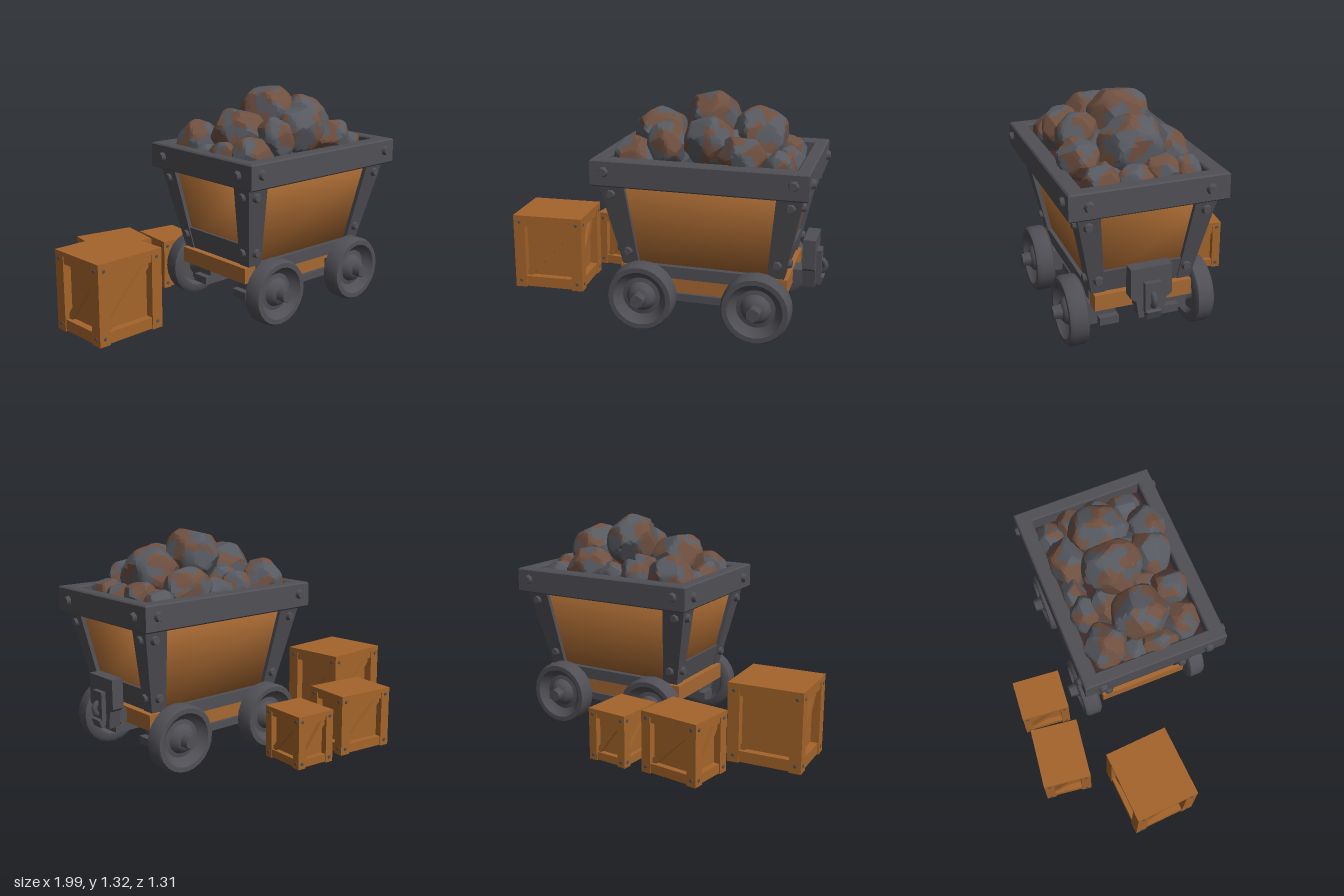
import * as THREE from 'three';
import { mergeVertices, toCreasedNormals } from 'three/addons/utils/BufferGeometryUtils.js';

const mat = (name, color) => {
  const m = new THREE.MeshStandardMaterial({ color });
  m.name = name;
  return m;
};

export function createModel() {
  const iron = mat('iron', 0x4f4f55);
  const wood = mat('cartWood', 0xa66832);
  const crateWood = mat('crateWood', 0xa4642a);
  const stone = mat('stone', 0x575a61);
  const rust = mat('rustyOre', 0x6f5040);
  const lining = mat('darkLining', 0x42292a);

  const add = (parent, name, geo, m, x = 0, y = 0, z = 0) => {
    const mesh = new THREE.Mesh(geo, m);
    mesh.name = name;
    mesh.position.set(x, y, z);
    parent.add(mesh);
    return mesh;
  };
  const box = (parent, name, m, x0, x1, y0, y1, z0, z1) =>
    add(parent, name, new THREE.BoxGeometry(x1 - x0, y1 - y0, z1 - z0), m, (x0 + x1) / 2, (y0 + y1) / 2, (z0 + z1) / 2);
  // Box whose bottom and top rectangles [x0, x1, z0, z1] differ
  const tapered = (a, b, y0, y1) => {
    const g = new THREE.BoxGeometry(1, 1, 1), p = g.attributes.position;
    for (let i = 0; i < p.count; i++) {
      const r = p.getY(i) > 0 ? b : a;
      p.setXYZ(i, p.getX(i) > 0 ? r[1] : r[0], p.getY(i) > 0 ? y1 : y0, p.getZ(i) > 0 ? r[3] : r[2]);
    }
    g.computeVertexNormals();
    return g;
  };
  // Bolt head pointing along x or z
  const bolt = (parent, m, axis, sign, x, y, z, r = 0.03, h = 0.025) => {
    const b = add(parent, 'bolt', new THREE.CylinderGeometry(r * 0.7, r, h, 7), m, x, y, z);
    if (axis === 'x') b.rotation.z = -sign * Math.PI / 2;
    else b.rotation.x = sign * Math.PI / 2;
  };

  const model = new THREE.Group();
  model.name = 'mineCartAndCrates';
  const cart = new THREE.Group();
  cart.name = 'mineCart';
  cart.position.set(0.327, 0, 0.185);
  model.add(cart);

  // Tapered tub with soft shading across its corners
  const halfX = y => 0.465 + 0.1 * (y - 0.36) / 0.48;
  const halfZ = y => 0.285 + 0.1 * (y - 0.36) / 0.48;
  const rect = (y, inset) => [-halfX(y) + inset, halfX(y) - inset, -halfZ(y) + inset, halfZ(y) - inset];
  const tub = tapered(rect(0.36, 0.025), rect(0.86, 0.025), 0.36, 0.86);
  tub.deleteAttribute('normal');
  tub.deleteAttribute('uv');
  const softTub = mergeVertices(tub);
  softTub.clearGroups();
  softTub.computeVertexNormals();
  add(cart, 'tub', softTub, wood);
  for (const s of [-1, 1]) {
    const e = y => (s > 0 ? [0.38, halfX(y) - 0.008] : [-halfX(y) + 0.008, -0.38]);
    add(cart, 'endBand', tapered([...e(0.35), -0.22, 0.22], [...e(0.48), -0.24, 0.24], 0.35, 0.48), iron);
  }

  // Corner posts with bolts
  for (const sx of [-1, 1]) for (const sz of [-1, 1]) {
    const corner = (y, w, d) => {
      const xs = [sx * halfX(y), sx * (halfX(y) - w)].sort((a, b) => a - b);
      const zs = [sz * halfZ(y), sz * (halfZ(y) - d)].sort((a, b) => a - b);
      return [...xs, ...zs];
    };
    add(cart, 'cornerPost', tapered(corner(0.35, 0.095, 0.075), corner(0.86, 0.145, 0.125), 0.35, 0.86), iron);
    for (const y of [0.435, 0.785]) {
      bolt(cart, iron, 'z', sz, sx * (halfX(y) - 0.055), y, sz * (halfZ(y) + 0.008));
      bolt(cart, iron, 'x', sx, sx * (halfX(y) + 0.008), y, sz * (halfZ(y) - 0.05));
    }
    bolt(cart, iron, 'z', sz, sx * 0.517, 0.925, sz * 0.446, 0.032);
    bolt(cart, iron, 'x', sx, sx * 0.607, 0.915, sz * 0.33, 0.032);
  }

  // Rim frame
  const rectPath = (P, x, z) => {
    const p = new P();
    p.moveTo(-x, -z); p.lineTo(x, -z); p.lineTo(x, z); p.lineTo(-x, z); p.closePath();
    return p;
  };
  const rimShape = rectPath(THREE.Shape, 0.589, 0.43);
  rimShape.holes.push(rectPath(THREE.Path, 0.528, 0.353));
  const rim = add(cart, 'rim', new THREE.ExtrudeGeometry(rimShape, {
    depth: 0.134, bevelEnabled: true, bevelThickness: 0.008, bevelSize: 0.008, bevelSegments: 1,
  }), iron, 0, 0.848, 0);
  rim.rotation.x = -Math.PI / 2;
  box(cart, 'tubLining', lining, -0.53, 0.53, 0.855, 0.885, -0.355, 0.355);

  // Undercarriage
  box(cart, 'woodenFrame', wood, -0.46, 0.46, 0.25, 0.335, -0.25, 0.25);
  for (const s of [-1, 1]) {
    box(cart, 'endBeam', wood, s * 0.44 - 0.04, s * 0.44 + 0.04, 0.25, 0.342, -0.285, 0.27);
    box(cart, 'sideSill', iron, -0.4, 0.4, 0.285, 0.355, s * 0.255 - 0.025, s * 0.255 + 0.025);
    box(cart, 'woodenSkirt', wood, -0.3, 0.3, 0.17, 0.285, s * 0.18 - 0.03, s * 0.18 + 0.03);
    box(cart, 'lowerRail', iron, -0.44, 0.44, 0.13, 0.175, s * 0.175 - 0.055, s * 0.175 + 0.055);
    for (const x of [-0.33, 0.33]) {
      box(cart, 'axleBlock', iron, x - 0.07, x + 0.07, 0.125, 0.255, s * 0.21 - 0.085, s * 0.21 + 0.085);
      const stub = add(cart, 'axle', new THREE.CylinderGeometry(0.065, 0.065, 0.16, 10), iron, x, 0.19, s * 0.27);
      stub.rotation.x = Math.PI / 2;
    }
  }

  // Wheels: dished disc, thick tread, hub and nut
  const profile = [[0, -0.025], [0.12, -0.025], [0.14, -0.055], [0.175, -0.055], [0.195, -0.04], [0.195, 0.035],
    [0.183, 0.055], [0.155, 0.055], [0.14, 0.03], [0.11, 0.008], [0.085, 0.012], [0.07, 0.04], [0.05, 0.055], [0, 0.058]];
  const wheelGeo = toCreasedNormals(new THREE.LatheGeometry(profile.map(p => new THREE.Vector2(...p)), 24), 0.7);
  for (const s of [-1, 1]) for (const x of [-0.328, 0.328]) {
    const wheel = new THREE.Group();
    wheel.name = 'wheel';
    wheel.position.set(x, 0.197, s * 0.36);
    wheel.rotation.x = s * Math.PI / 2;
    add(wheel, 'wheelDisc', wheelGeo, iron);
    add(wheel, 'wheelNut', new THREE.CylinderGeometry(0.04, 0.046, 0.05, 6), iron, 0, 0.08, 0);
    cart.add(wheel);
  }

  // Coupling plate and hook
  const plate = new THREE.Shape([[-0.07, 0.24], [0.07, 0.24], [0.085, 0.34], [0.115, 0.36], [0.115, 0.53],
    [-0.115, 0.53], [-0.115, 0.36], [-0.085, 0.34]].map(p => new THREE.Vector2(...p)));
  const plateMesh = add(cart, 'couplingPlate', new THREE.ExtrudeGeometry(plate, { depth: 0.07, bevelEnabled: false }), iron, 0.537, 0, 0);
  plateMesh.rotation.y = Math.PI / 2;
  box(cart, 'couplingArm', iron, 0.42, 0.56, 0.26, 0.33, -0.06, 0.06);
  box(cart, 'hookBlock', iron, 0.6, 0.635, 0.28, 0.45, -0.045, 0.045);
  const tongue = box(cart, 'hookTongue', iron, 0.585, 0.645, 0.25, 0.3, -0.04, 0.04);
  tongue.rotation.z = -0.35;
  add(cart, 'hook', new THREE.TorusGeometry(0.036, 0.018, 6, 12), iron, 0.619, 0.35, 0);

  // Ore: chiselled lumps with rusty patches [x, y, z, rx, ry, rz]
  let seed = 7;
  const rand = () => (seed = (seed * 16807) % 2147483647) / 2147483647;
  const rock = (x, y, z, rx, ry, rz) => {
    const cuts = Array.from({ length: 16 }, (_, i) => {
      // Evenly spread chisel planes, each slightly off its place
      const h = 1 - (i + 0.2 + rand() * 0.6) / 8, a = i * 2.4 + rand() * 0.7 + x * 9, q = Math.sqrt(1 - h * h);
      return [new THREE.Vector3(q * Math.cos(a), h, q * Math.sin(a)), 0.8 + rand() * 0.12];
    });
    const src = new THREE.IcosahedronGeometry(1, 6), p = src.attributes.position, v = new THREE.Vector3();
    for (let i = 0; i < p.count; i++) {
      v.fromBufferAttribute(p, i).normalize();
      let r = 1;
      for (const [n, d] of cuts) if (n.dot(v) > 0) r = Math.min(r, d / n.dot(v));
      p.setXYZ(i, v.x * r * rx * 1.12, v.y * r * ry * 1.12, v.z * r * rz * 1.12);
    }
    src.deleteAttribute('normal');
    src.deleteAttribute('uv');
    const g = toCreasedNormals(src, 0.35), q = g.attributes.position;
    g.clearGroups();
    const o = rand() * 20;
    for (let i = 0; i < q.count; i += 3) {
      const X = q.getX(i) * 30 + o, Y = q.getY(i) * 30, Z = q.getZ(i) * 30 - o;
      const n = Math.sin(X + Math.sin(Y * 1.3)) + Math.sin(Y * 1.1 + Z * 0.6) + Math.sin(Z * 1.2 + Math.sin(X * 1.7));
      const k = n > 0.1 ? 1 : 0, last = g.groups[g.groups.length - 1];
      if (last && last.materialIndex === k) last.count += 3;
      else g.addGroup(i, 3, k);
    }
    add(model, 'oreLump', g, [stone, rust], x, y, z);
  };
  [[0.31, 1.155, 0.14, 0.145, 0.16, 0.165], [0.02, 1.06, 0.2, 0.15, 0.15, 0.16], [0.59, 1.07, 0.17, 0.15, 0.16, 0.17],
    [-0.06, 0.98, -0.05, 0.13, 0.14, 0.12], [0.17, 0.96, -0.08, 0.1, 0.12, 0.09], [0.31, 0.95, -0.1, 0.09, 0.11, 0.07],
    [0.5, 0.99, -0.06, 0.15, 0.13, 0.11], [0.71, 0.94, -0.09, 0.09, 0.09, 0.08], [0.74, 0.96, 0.06, 0.09, 0.1, 0.1],
    [0.76, 0.94, 0.21, 0.08, 0.09, 0.1], [-0.07, 0.96, 0.41, 0.12, 0.12, 0.11], [0.11, 1.05, 0.41, 0.1, 0.12, 0.11],
    [0.34, 1.08, 0.39, 0.13, 0.13, 0.12], [0.54, 1.02, 0.45, 0.12, 0.11, 0.11], [0.73, 0.95, 0.39, 0.09, 0.09, 0.1],
    [-0.14, 0.94, 0.26, 0.07, 0.1, 0.12], [0.17, 0.98, 0.28, 0.13, 0.14, 0.13], [0.44, 0.98, 0.26, 0.13, 0.14, 0.13],
    [-0.13, 0.93, 0.1, 0.08, 0.08, 0.09], [0.17, 0.98, 0.04, 0.11, 0.12, 0.1], [0.64, 0.93, 0.33, 0.1, 0.09, 0.1],
  ].forEach(r => rock(...r));

  // Crates: recessed core, posts, rails, diagonal braces and lid
  const crate = (name, x, z, w, h, d, turn) => {
    const c = new THREE.Group();
    c.name = name;
    c.position.set(x, 0, z);
    c.rotation.y = turn;
    model.add(c);
    const t = 0.06 * Math.min(1.2, h / 0.36), X = w / 2, Z = d / 2, inset = t * 0.7;
    box(c, 'crateCore', crateWood, -X + inset, X - inset, inset, h - 0.02, -Z + inset, Z - inset);
    box(c, 'crateLid', crateWood, -X - 0.001, X + 0.001, h - 0.025, h + 0.001, -Z - 0.001, Z + 0.001);
    for (let i = 0; i < 4; i++) {
      const side = new THREE.Group();
      side.name = 'crateSide';
      side.rotation.y = i * Math.PI / 2;
      c.add(side);
      const a = i % 2 ? Z : X, b = i % 2 ? X : Z;
      box(side, 'cratePost', crateWood, a - t, a, 0, h - 0.002, b - t, b);
      box(side, 'bottomRail', crateWood, -a + t, a - t, 0.005, t, b - t, b - 0.006);
      box(side, 'topRail', crateWood, -a + t, a - t, h - t, h - 0.005, b - t, b - 0.006);
      const u = 2 * (a - t), v = h - 2 * t;
      const brace = add(side, 'brace', new THREE.BoxGeometry(Math.hypot(u, v), t * 0.6, 0.022), crateWood, 0, h / 2, b - inset + 0.01);
      brace.rotation.z = Math.atan2(v, u);
      for (const sx of [-1, 1]) for (const y of [t * 0.6, h - t * 0.6])
        bolt(side, iron, 'z', 1, sx * (a - t / 2), y, b, 0.013, 0.008);
    }
  };
  crate('largeCrate', -0.755, -0.027, 0.445, 0.475, 0.395, 0.06);
  crate('mediumCrate', -0.403, -0.488, 0.37, 0.36, 0.293, -0.13);
  crate('smallCrate', 0.012, -0.469, 0.255, 0.31, 0.3, -0.09);

  return model;
}
